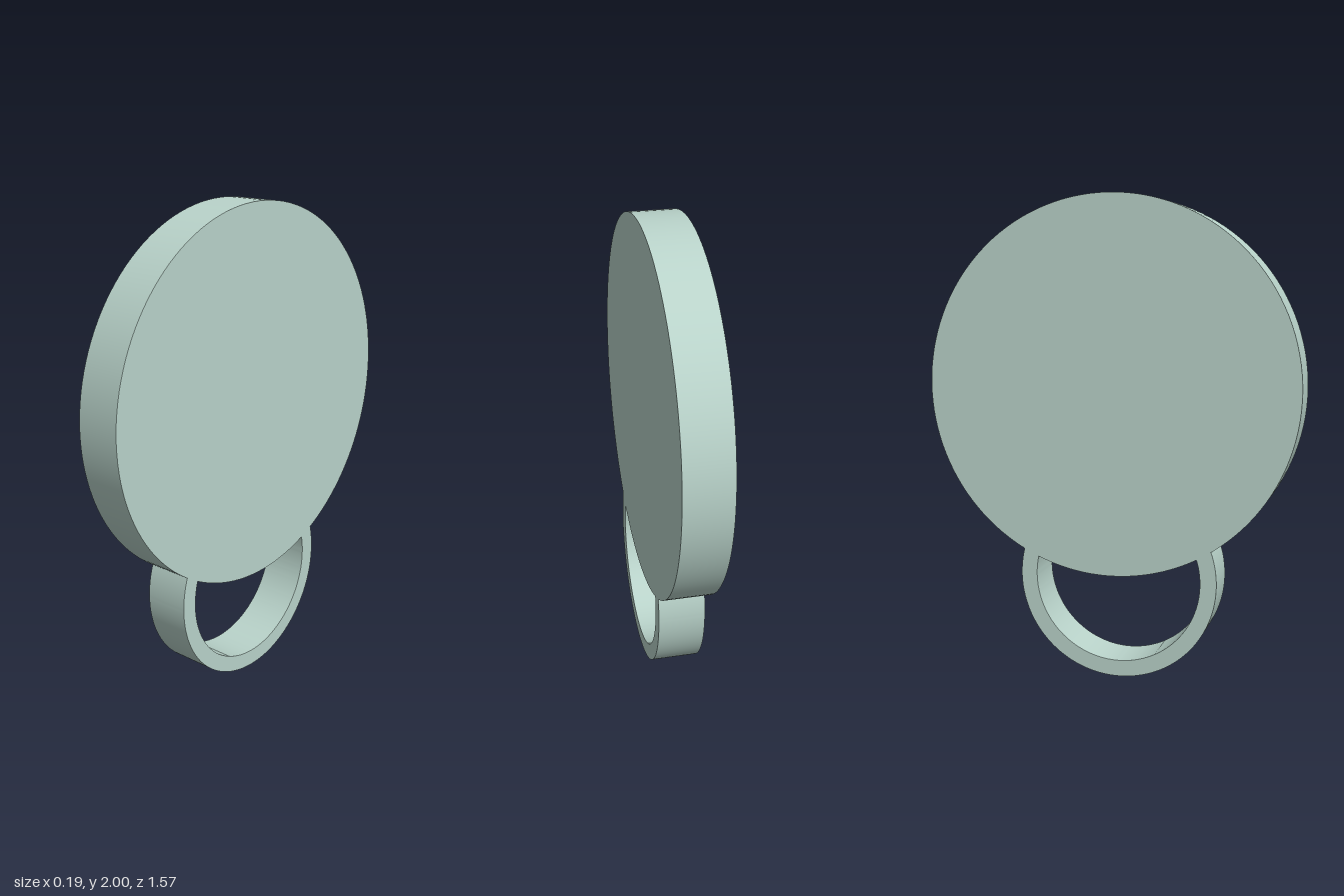
import * as THREE from 'three';
import { toCreasedNormals } from 'three/addons/utils/BufferGeometryUtils.js';

const THICKNESS = 0.195;
const DISC = { z: 0, y: 1.215, r: 0.785 };
const RING = { z: 0.035, y: 0.42, outer: 0.42, inner: 0.352 };

export function createModel() {
  const group = new THREE.Group();
  const material = new THREE.MeshStandardMaterial({ color: 0xb9d3ca });

  // Large round plate, its axis along x
  const discGeometry = new THREE.CylinderGeometry(DISC.r, DISC.r, THICKNESS, 128);
  discGeometry.rotateZ(Math.PI / 2);
  const disc = new THREE.Mesh(discGeometry, material);
  disc.name = 'disc';
  disc.position.set(0, DISC.y, DISC.z);
  group.add(disc);

  // Half angle of the part of a ring circle that lies inside the disc
  const dz = DISC.z - RING.z, dy = DISC.y - RING.y;
  const d = Math.hypot(dz, dy);
  const toDisc = Math.atan2(dy, dz);
  const cut = (r) => Math.acos((d * d + r * r - DISC.r * DISC.r) / (2 * d * r));

  // Hanging ring, open where it meets the rim of the disc
  const a = cut(RING.outer), b = cut(RING.inner);
  const shape = new THREE.Shape();
  shape.absarc(0, 0, RING.outer, toDisc + a, toDisc - a + Math.PI * 2, false);
  shape.absarc(0, 0, RING.inner, toDisc - b + Math.PI * 2, toDisc + b, true);
  shape.closePath();
  const ringGeometry = new THREE.ExtrudeGeometry(shape, {
    depth: THICKNESS, bevelEnabled: false, curveSegments: 80,
  });
  ringGeometry.translate(0, 0, -THICKNESS / 2);
  ringGeometry.rotateY(-Math.PI / 2); // profile x becomes z
  const ring = new THREE.Mesh(toCreasedNormals(ringGeometry, 0.5), material);
  ring.name = 'ring';
  ring.position.set(0, RING.y, RING.z);
  group.add(ring);

  return group;
}
